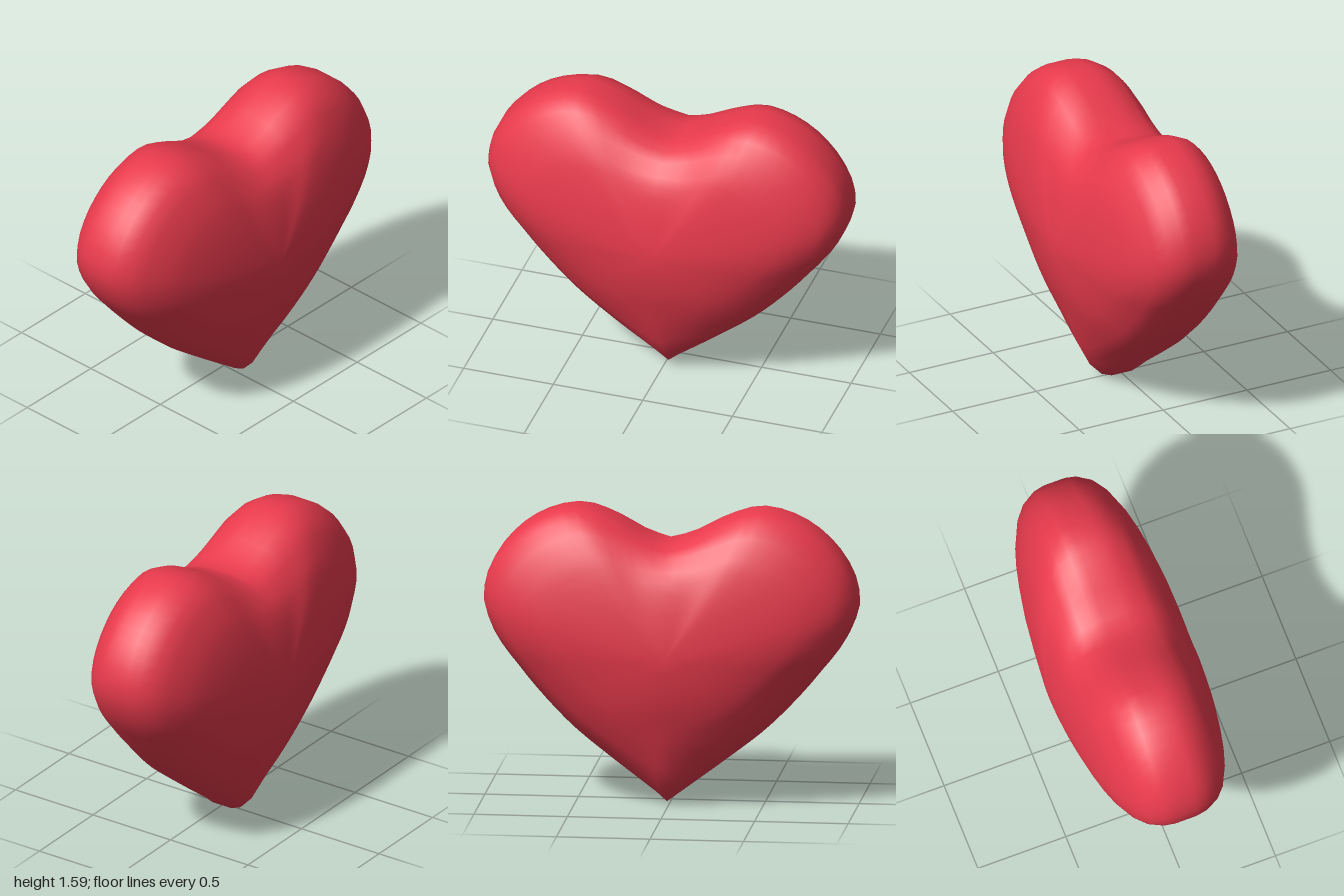
import * as THREE from 'three';

const CENTRE_Y = 0.83;
const HALF = 36; // outline steps per lobe

// Half of the heart outline as [z, y], from the cleft over the lobe to the tip
const LOBE = [
  [-0.02, 1.405], [0.1, 1.44], [0.28, 1.535], [0.44, 1.59], [0.54, 1.588], [0.665, 1.55],
  [0.77, 1.49], [0.86, 1.41], [0.93, 1.32], [0.98, 1.215], [1.0, 1.09], [0.985, 1.02],
  [0.955, 0.94], [0.895, 0.84], [0.82, 0.747], [0.71, 0.613], [0.515, 0.412], [0.3, 0.24], [-0.02, 0],
];

// Pillow profile as [x, outline scale], from the side face to the rim
const PROFILE = [
  [0.401, 0.12], [0.39, 0.24], [0.373, 0.385], [0.35, 0.515], [0.327, 0.62], [0.3, 0.715],
  [0.245, 0.85], [0.19, 0.932], [0.12, 0.984], [0.06, 1],
];
const POLE_X = 0.405;

// Closed outline, relative to the centre
function heartOutline() {
  const curve = new THREE.CatmullRomCurve3(LOBE.map(([z, y]) => new THREE.Vector3(0, y - CENTRE_Y, z)));
  const front = curve.getSpacedPoints(HALF);
  const back = front.slice(1, -1).reverse()
    .map((p) => new THREE.Vector3(0, p.y, -p.z - 0.03 * (1 - Math.abs(p.z))));
  return [...front, ...back];
}

// Running average of the closed outline
function average(points, reach) {
  const n = points.length;
  return points.map((_, i) => {
    const mean = new THREE.Vector3();
    for (let k = -reach; k <= reach; k++) mean.add(points[(i + k + n) % n]);
    return mean.divideScalar(2 * reach + 1);
  });
}

function heartGeometry() {
  const { smoothstep } = THREE.MathUtils;
  const outline = heartOutline();
  const soft = average(outline, 9);
  const n = outline.length;
  const rings = [...PROFILE, [0, 1], ...PROFILE.map(([x, s]) => [-x, s]).reverse()];
  const positions = [POLE_X, CENTRE_Y, 0];
  const indices = [];

  // Toward the side faces the tip and cleft round off and the rings get broader
  for (const [x, s] of rings) {
    const tipBlend = Math.min(1, (1 - s) / 0.35);
    const cleftBlend = Math.min(1, (1 - s) / 0.5);
    const broad = 1 + 0.28 * (1 - s);
    outline.forEach((p, j) => {
      const blend = p.y < 0
        ? tipBlend * smoothstep(-p.y, 0, 0.5)
        : cleftBlend * (1 - smoothstep(Math.abs(p.z), 0.05, 0.5));
      const q = p.clone().lerp(soft[j], blend).multiplyScalar(s);
      positions.push(x, CENTRE_Y + q.y, q.z * broad);
    });
  }
  positions.push(-POLE_X, CENTRE_Y, 0);

  const at = (i, j) => 1 + i * n + (j % n);
  const last = rings.length - 1;
  const endPole = 1 + rings.length * n;
  for (let j = 0; j < n; j++) {
    indices.push(0, at(0, j), at(0, j + 1));
    for (let i = 0; i < last; i++) {
      const a = at(i, j), b = at(i + 1, j), c = at(i + 1, j + 1), d = at(i, j + 1);
      indices.push(a, b, c, a, c, d);
    }
    indices.push(endPole, at(last, j + 1), at(last, j));
  }

  const geometry = new THREE.BufferGeometry();
  geometry.setAttribute('position', new THREE.Float32BufferAttribute(positions, 3));
  geometry.setIndex(indices);
  geometry.computeVertexNormals();
  return geometry;
}

export function createModel() {
  const group = new THREE.Group();
  group.name = 'heartModel';
  const heart = new THREE.Mesh(heartGeometry(), new THREE.MeshStandardMaterial({ color: 0xe83a4c }));
  heart.name = 'heart';
  group.add(heart);
  return group;
}
